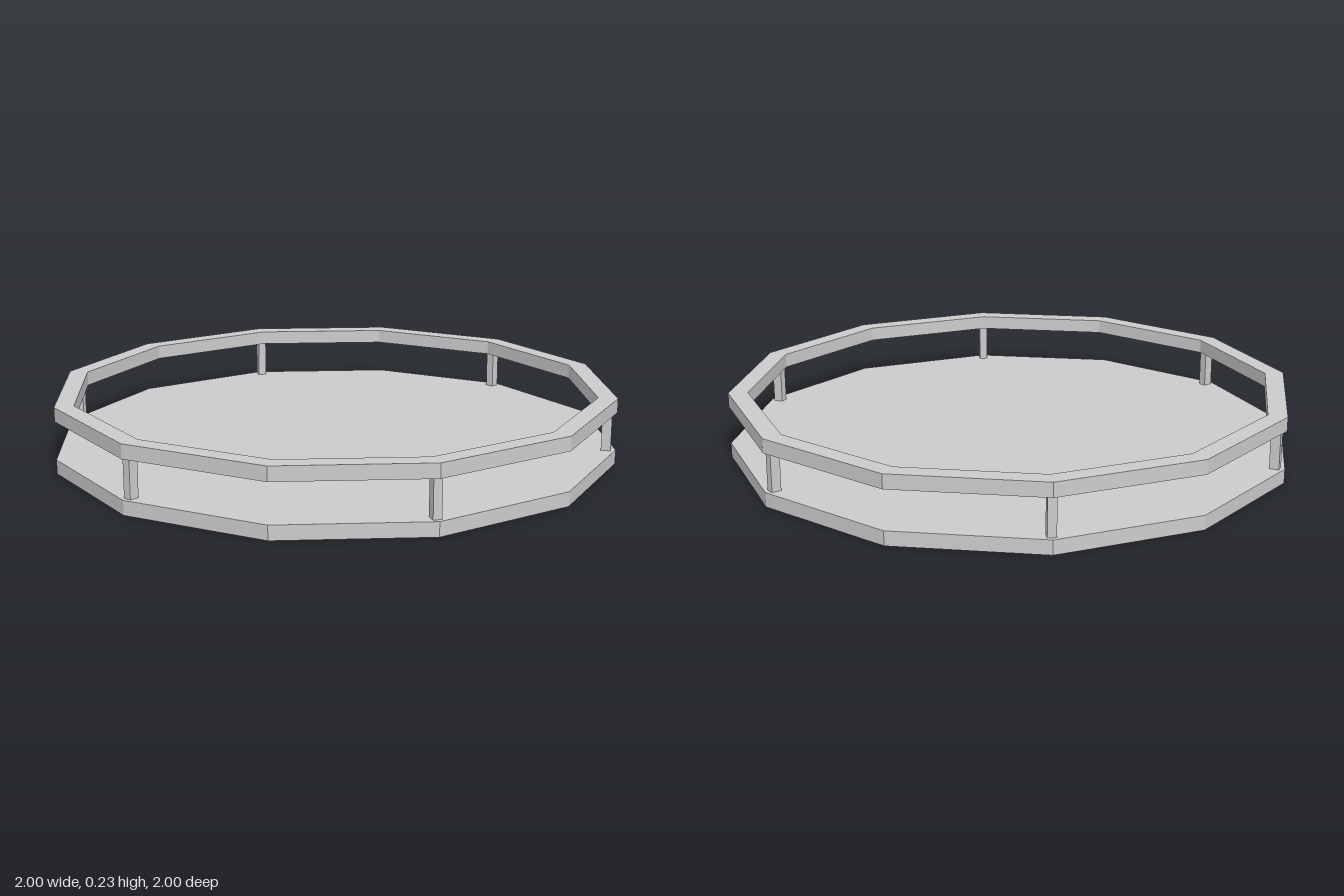
import * as THREE from 'three';

const SIDES = 12, DECK = 0.05, RAIL_BOTTOM = 0.185, RAIL_TOP = 0.235;

// Regular polygon outline with a corner on each axis
function polygon(radius) {
  return Array.from({ length: SIDES }, (_, i) => {
    const a = (i / SIDES) * Math.PI * 2;
    return new THREE.Vector2(radius * Math.cos(a), radius * Math.sin(a));
  });
}

export function createModel() {
  const group = new THREE.Group();
  group.name = 'railedPlatform';
  const material = new THREE.MeshStandardMaterial({ color: 0xcccccc, flatShading: true });

  const add = (name, geometry) => {
    const mesh = new THREE.Mesh(geometry, material);
    mesh.name = name;
    group.add(mesh);
    return mesh;
  };

  // Solid twelve-sided deck
  add('deck', new THREE.CylinderGeometry(1, 1, DECK, SIDES)).position.y = DECK / 2;

  // Ring-shaped handrail
  const ring = new THREE.Shape(polygon(1));
  ring.holes.push(new THREE.Path(polygon(0.932)));
  const railGeometry = new THREE.ExtrudeGeometry(ring, { depth: RAIL_TOP - RAIL_BOTTOM, bevelEnabled: false });
  railGeometry.rotateX(-Math.PI / 2);
  add('handrail', railGeometry).position.y = RAIL_BOTTOM;

  // Six posts under every second corner, turned to face the centre
  const postGeometry = new THREE.BoxGeometry(0.03, RAIL_BOTTOM - DECK, 0.034);
  for (let i = 0; i < 6; i++) {
    const a = (i * Math.PI) / 3;
    const post = add(`post${i + 1}`, postGeometry);
    post.position.set(0.966 * Math.sin(a), (DECK + RAIL_BOTTOM) / 2, 0.966 * Math.cos(a));
    post.rotation.y = a;
  }
  return group;
}
